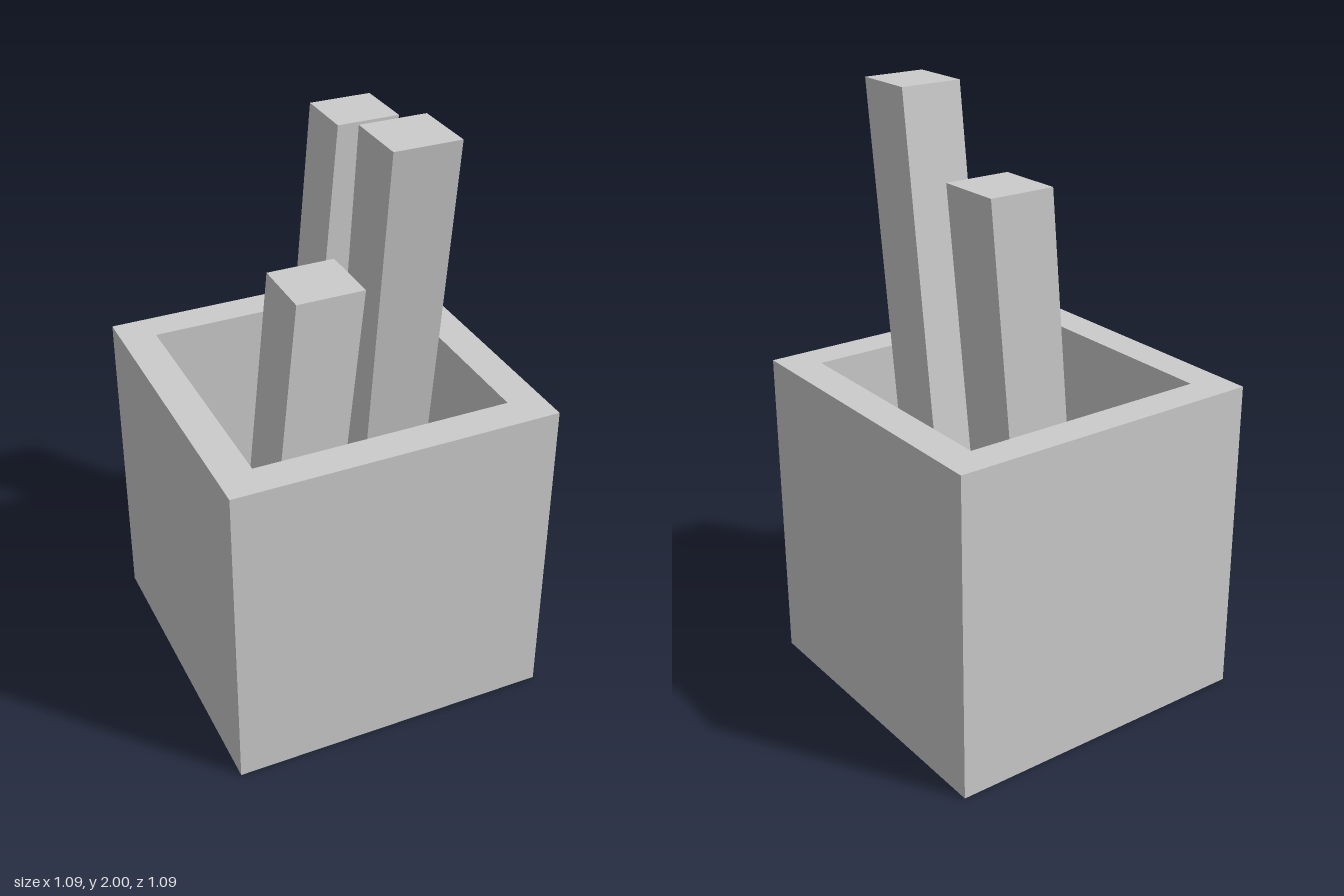
import * as THREE from 'three';

const material = new THREE.MeshStandardMaterial({ color: 0xcccccc, flatShading: true });

const HALF = 0.543, INNER = 0.427, RIM = 1.09, FLOOR = 0.21, STICK = 0.213;

// Square open box: a four-sided lathe with walls, rim and inner floor
function makeContainer() {
  const d = Math.SQRT2;
  const profile = [
    [0, 0], [HALF * d, 0], [HALF * d, RIM],
    [INNER * d, RIM], [INNER * d, FLOOR], [0, FLOOR],
  ].map(([r, y]) => new THREE.Vector2(r, y));
  const geometry = new THREE.LatheGeometry(profile, 4, Math.PI / 4).toNonIndexed();
  geometry.computeVertexNormals();
  const mesh = new THREE.Mesh(geometry, material);
  mesh.name = 'container';
  return mesh;
}

// Square stick sheared sideways, its ends staying level
function makeStick({ name, x, z, top, leanX = 0, leanZ = 0 }) {
  const height = top - FLOOR;
  const geometry = new THREE.BoxGeometry(STICK, height, STICK);
  geometry.translate(0, height / 2, 0);
  const shear = new THREE.Matrix4().set(
    1, leanX / height, 0, 0,
    0, 1, 0, 0,
    0, leanZ / height, 1, 0,
    0, 0, 0, 1,
  );
  geometry.applyMatrix4(shear);
  const mesh = new THREE.Mesh(geometry, material);
  mesh.name = name;
  mesh.position.set(x, FLOOR, z);
  return mesh;
}

export function createModel() {
  const model = new THREE.Group();
  model.name = 'stickContainer';
  model.add(makeContainer());

  const near = STICK / 2, far = INNER - STICK / 2;
  const sticks = [
    { name: 'tallStick', x: near, z: near, top: 2, leanZ: 0.225 },
    { name: 'backStick', x: near, z: -far, top: 1.816, leanX: 0.141 },
    { name: 'shortStick', x: -far, z: far, top: 1.595, leanX: 0.145 },
  ];
  for (const stick of sticks) model.add(makeStick(stick));
  return model;
}
